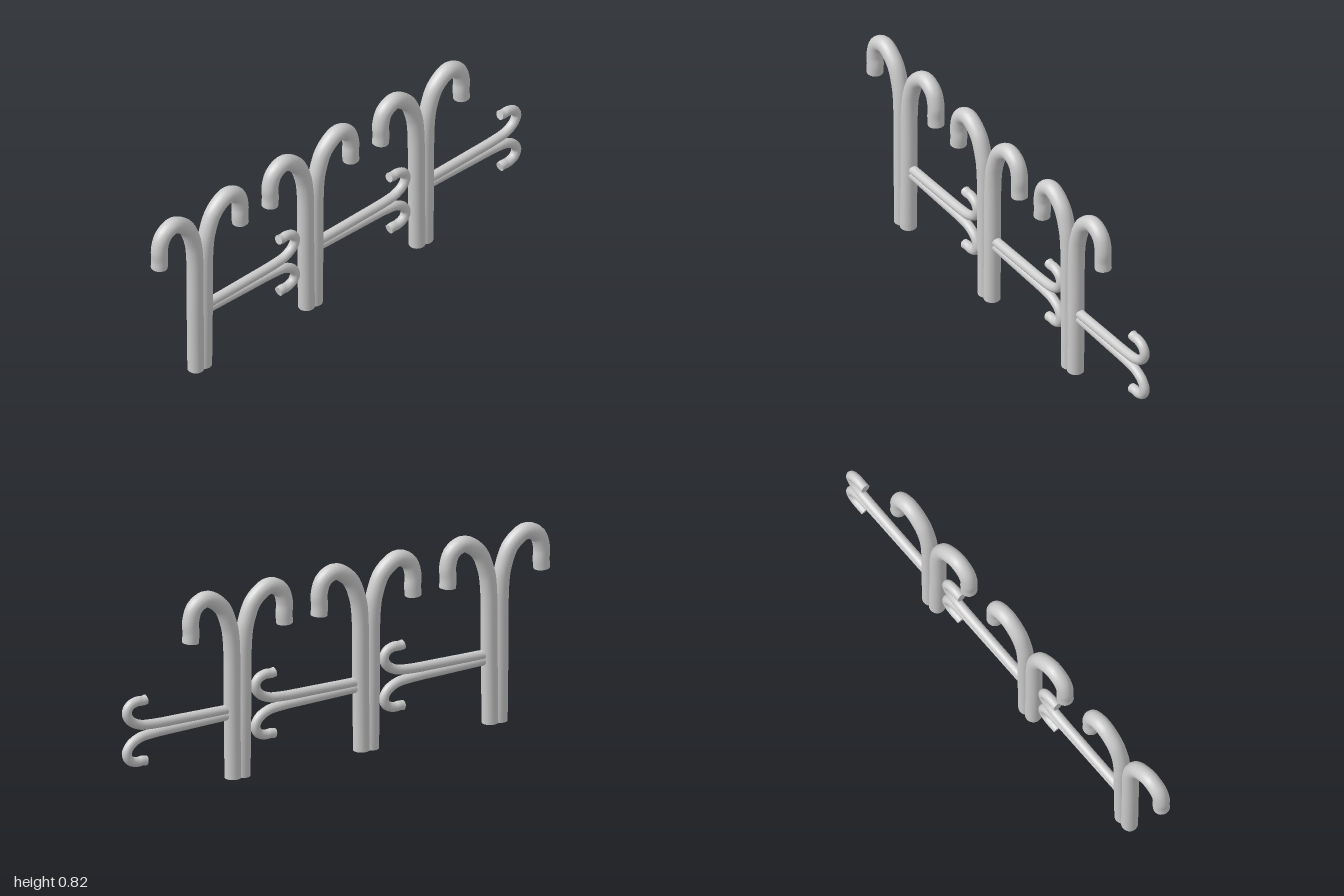
import * as THREE from 'three';

const material = new THREE.MeshStandardMaterial({ color: 0xcccccc });

// Half profiles of one cane and one small hook, measured from the post axis
const CANE = [[0.021, 0], [0.025, 0.3], [0.029, 0.58], [0.041, 0.655], [0.077, 0.737], [0.146, 0.782],
  [0.199, 0.757], [0.219, 0.7], [0.217, 0.65], [0.22, 0.612]];
const HOOK = [[0.03, 0.012], [0.25, 0.016], [0.4, 0.02], [0.458, 0.028], [0.501, 0.053], [0.517, 0.087],
  [0.503, 0.116], [0.468, 0.129], [0.445, 0.127], [0.427, 0.13]];

// Smooth round rod along a planar path, closed by a disc at each end
function rod(name, points, radius) {
  const group = new THREE.Group();
  group.name = name;
  const curve = new THREE.CatmullRomCurve3(points.map(([x, y]) => new THREE.Vector3(x, y, 0)), false, 'centripetal');
  const body = new THREE.Mesh(new THREE.TubeGeometry(curve, 72, radius, 24), material);
  body.name = name + 'Body';
  group.add(body);
  for (const t of [0, 1]) {
    const cap = new THREE.Mesh(new THREE.CircleGeometry(radius, 24), material);
    cap.name = name + 'End';
    const outward = curve.getTangentAt(t).multiplyScalar(t ? 1 : -1);
    cap.position.copy(curve.getPointAt(t));
    cap.quaternion.setFromUnitVectors(new THREE.Vector3(0, 0, 1), outward);
    group.add(cap);
  }
  return group;
}

export function createModel() {
  const model = new THREE.Group();
  model.name = 'caneFence';
  for (let i = 0; i < 3; i++) {
    const section = new THREE.Group();
    section.name = 'fenceSection' + (i + 1);
    section.position.x = -0.746 + i * 0.6;
    // Back-to-back upright canes
    for (const s of [-1, 1]) {
      section.add(rod(s < 0 ? 'rightCane' : 'leftCane', CANE.map(([x, y]) => [s * x, y]), 0.034));
    }
    // Pair of thin horizontal canes forming the rail
    for (const s of [-1, 1]) {
      section.add(rod(s < 0 ? 'lowerRail' : 'upperRail', HOOK.map(([x, y]) => [x, 0.281 + s * y]), 0.02));
    }
    model.add(section);
  }
  return model;
}
